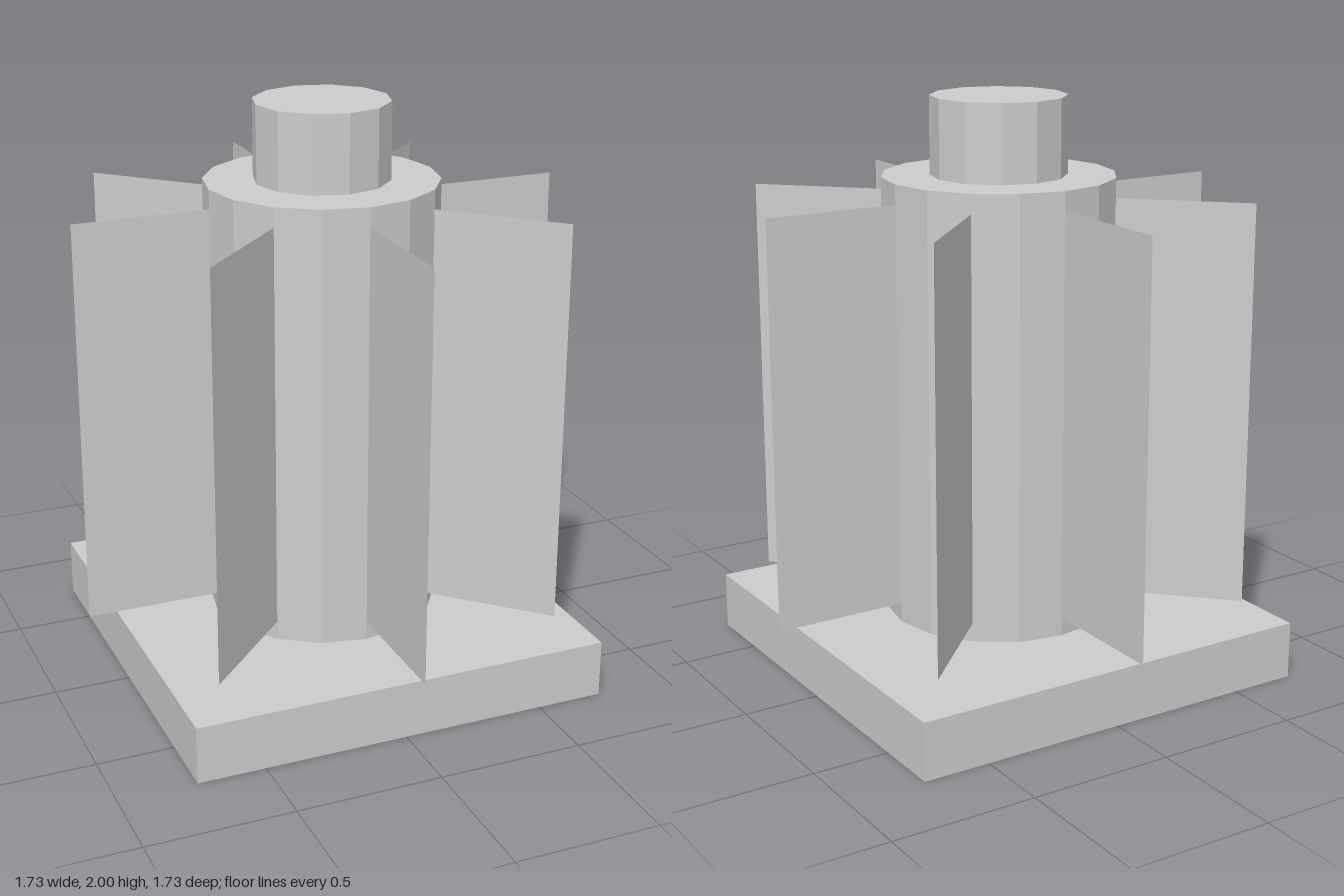
import * as THREE from 'three';

export function createModel() {
  const model = new THREE.Group();
  model.name = 'finnedMotor';
  const lightGrey = new THREE.MeshStandardMaterial({ color: 0xcccccc, flatShading: true });
  lightGrey.name = 'lightGrey';
  const finGrey = lightGrey.clone(); // same colour, visible from both sides
  finGrey.name = 'lightGreyTwoSided';
  finGrey.side = THREE.DoubleSide;

  const add = (name, geometry, y, material = lightGrey) => {
    const mesh = new THREE.Mesh(geometry, material);
    mesh.name = name;
    mesh.position.y = y;
    model.add(mesh);
    return mesh;
  };

  // Square base plate
  add('basePlate', new THREE.BoxGeometry(1.467, 0.2, 1.467), 0.1);

  // Main body and the narrower shaft on top
  add('body', new THREE.CylinderGeometry(0.4, 0.4, 1.533, 16), 0.967);
  add('shaft', new THREE.CylinderGeometry(0.233, 0.233, 0.267, 12), 1.8665);

  // Eight sheet-thin radial cooling fins
  const inner = 0.4, outer = 0.867;
  const finGeometry = new THREE.PlaneGeometry(outer - inner, 1.4);
  finGeometry.translate((inner + outer) / 2, 0, 0);
  for (let i = 0; i < 8; i++) {
    add(`fin${i + 1}`, finGeometry, 0.967, finGrey).rotation.y = (i * Math.PI) / 4;
  }
  return model;
}
